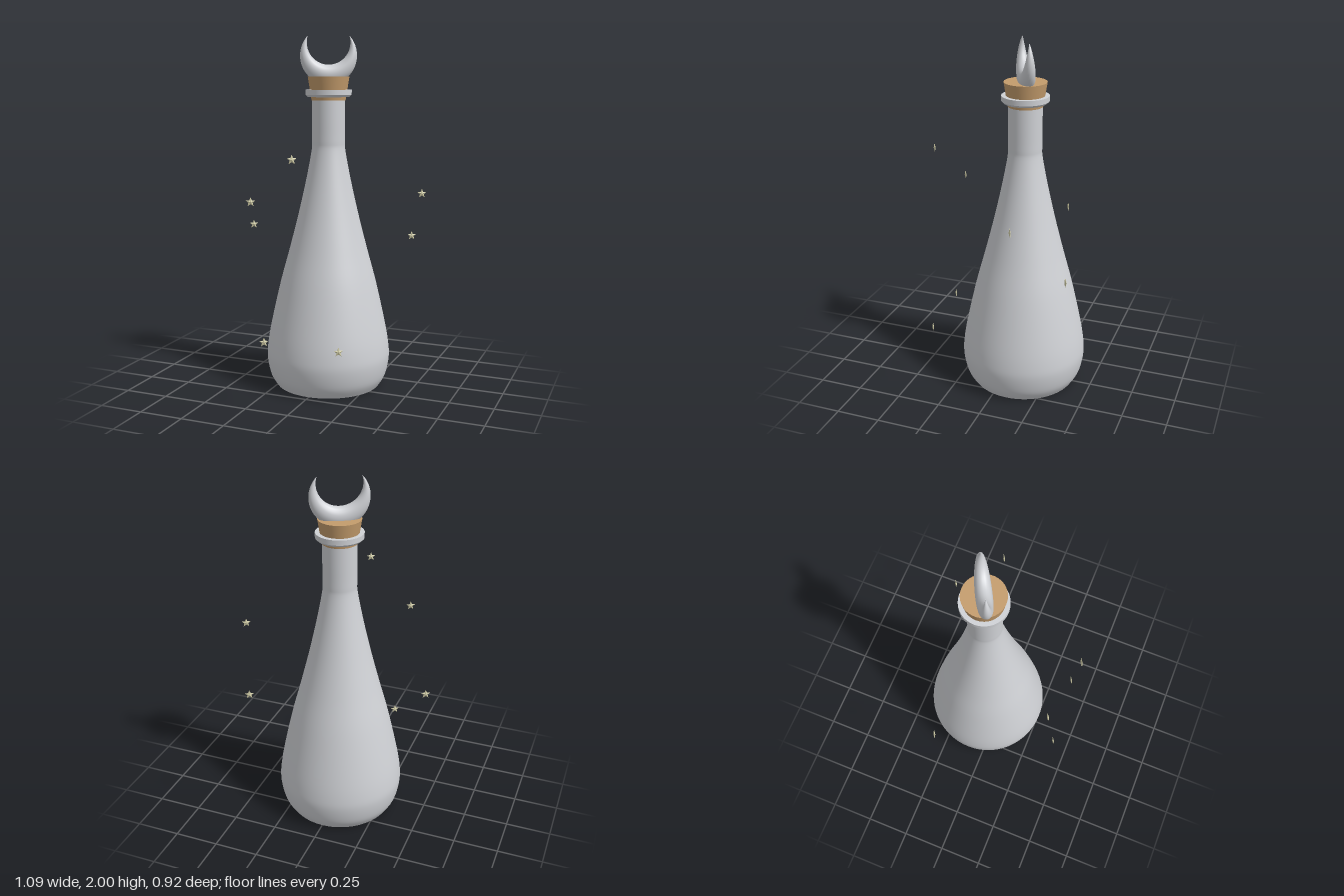
import * as THREE from 'three';

const mat = (name, color) => {
  const m = new THREE.MeshStandardMaterial({ color });
  m.name = name;
  return m;
};

// Horned moon: elliptical cross-sections swept between an outer and an inner arc
function crescentGeometry() {
  const R = 0.16, cy = 1.89, tipX = 0.116, tipY = 2.0, r = 0.122, iy = 1.962;
  const outerEnd = Math.atan2(tipX, cy - tipY), innerEnd = Math.atan2(tipX, iy - tipY);
  const steps = 48, sides = 20, pos = [], idx = [];
  for (let i = 0; i <= steps; i++) {
    const t = (i / steps) * 2 - 1;
    const o = new THREE.Vector2(R * Math.sin(t * outerEnd), cy - R * Math.cos(t * outerEnd));
    const n = new THREE.Vector2(r * Math.sin(t * innerEnd), iy - r * Math.cos(t * innerEnd));
    const mid = o.clone().add(n).multiplyScalar(0.5);
    const half = o.clone().sub(n).multiplyScalar(0.5);
    const depth = half.length() * 0.78;
    for (let j = 0; j < sides; j++) {
      const a = (j / sides) * Math.PI * 2;
      pos.push(mid.x + half.x * Math.cos(a), mid.y + half.y * Math.cos(a), depth * Math.sin(a));
      if (i < steps) {
        const k = (j + 1) % sides, p = i * sides, q = p + sides;
        idx.push(p + j, q + j, p + k, p + k, q + j, q + k);
      }
    }
  }
  const g = new THREE.BufferGeometry();
  g.setAttribute('position', new THREE.Float32BufferAttribute(pos, 3));
  g.setIndex(idx);
  g.computeVertexNormals();
  return g;
}

// Faceted five-pointed star: a two-band sphere with alternate rim points pulled in
function starGeometry() {
  const g = new THREE.SphereGeometry(0.027, 10, 2, Math.PI / 2);
  g.rotateX(Math.PI / 2);
  const p = g.attributes.position;
  for (let i = 0; i < p.count; i++) {
    const s = i >= 11 && i < 22 && (i - 11) % 2 === 0 ? 0.45 : 1;
    p.setXYZ(i, p.getX(i) * s, p.getY(i) * s, p.getZ(i) * 0.2);
  }
  const flat = g.toNonIndexed();
  flat.computeVertexNormals();
  return flat;
}

export function createModel() {
  const model = new THREE.Group();
  model.name = 'moonBottle';
  const glass = mat('pale grey glass', 0xcfd1d5);
  const corkMat = mat('cork brown', 0xc49c6c);
  const starMat = mat('pale gold', 0xd2cea8);
  const TURN = 0.49;

  const bottle = new THREE.Group();
  bottle.name = 'bottle';
  bottle.position.z = -0.087;
  model.add(bottle);
  const add = (name, geometry, material, y = 0) => {
    const m = new THREE.Mesh(geometry, material);
    m.name = name;
    m.position.y = y;
    bottle.add(m);
    return m;
  };

  // Body and neck
  const profile = new THREE.SplineCurve([
    [0.3, 0], [0.335, 0.06], [0.354, 0.15], [0.352, 0.23], [0.33, 0.36], [0.276, 0.6],
    [0.222, 0.8], [0.171, 1.0], [0.126, 1.2], [0.096, 1.36], [0.093, 1.42], [0.093, 1.54], [0.093, 1.67],
  ].map(([x, y]) => new THREE.Vector2(x, y))).getPoints(60);
  profile[0].y = 0;
  add('body', new THREE.LatheGeometry(profile, 64), glass);
  add('base', new THREE.CircleGeometry(0.3, 64).rotateX(Math.PI / 2), glass);

  // Lip ring
  add('lip', new THREE.CylinderGeometry(0.13, 0.13, 0.028, 64), glass, 1.688);
  add('lipUnderside', new THREE.CylinderGeometry(0.13, 0.118, 0.012, 64), glass, 1.668);

  // Stopper
  add('cork', new THREE.CylinderGeometry(0.117, 0.096, 0.132, 48), corkMat, 1.709);
  add('crescent', crescentGeometry(), glass).rotation.y = TURN;

  // Floating stars
  const star = starGeometry();
  [
    [0.01, 1.355, 0.45], [-0.263, 1.113, 0.38], [0.522, 1.128, -0.188], [-0.527, 0.887, -0.188],
    [0.392, 0.835, -0.447], [-0.173, 0.358, 0.42], [0.245, 0.343, 0.387],
  ].forEach(([x, y, z], i) => {
    const m = new THREE.Mesh(star, starMat);
    m.name = `star${i + 1}`;
    m.position.set(x, y, z);
    m.rotation.y = TURN;
    model.add(m);
  });
  return model;
}
